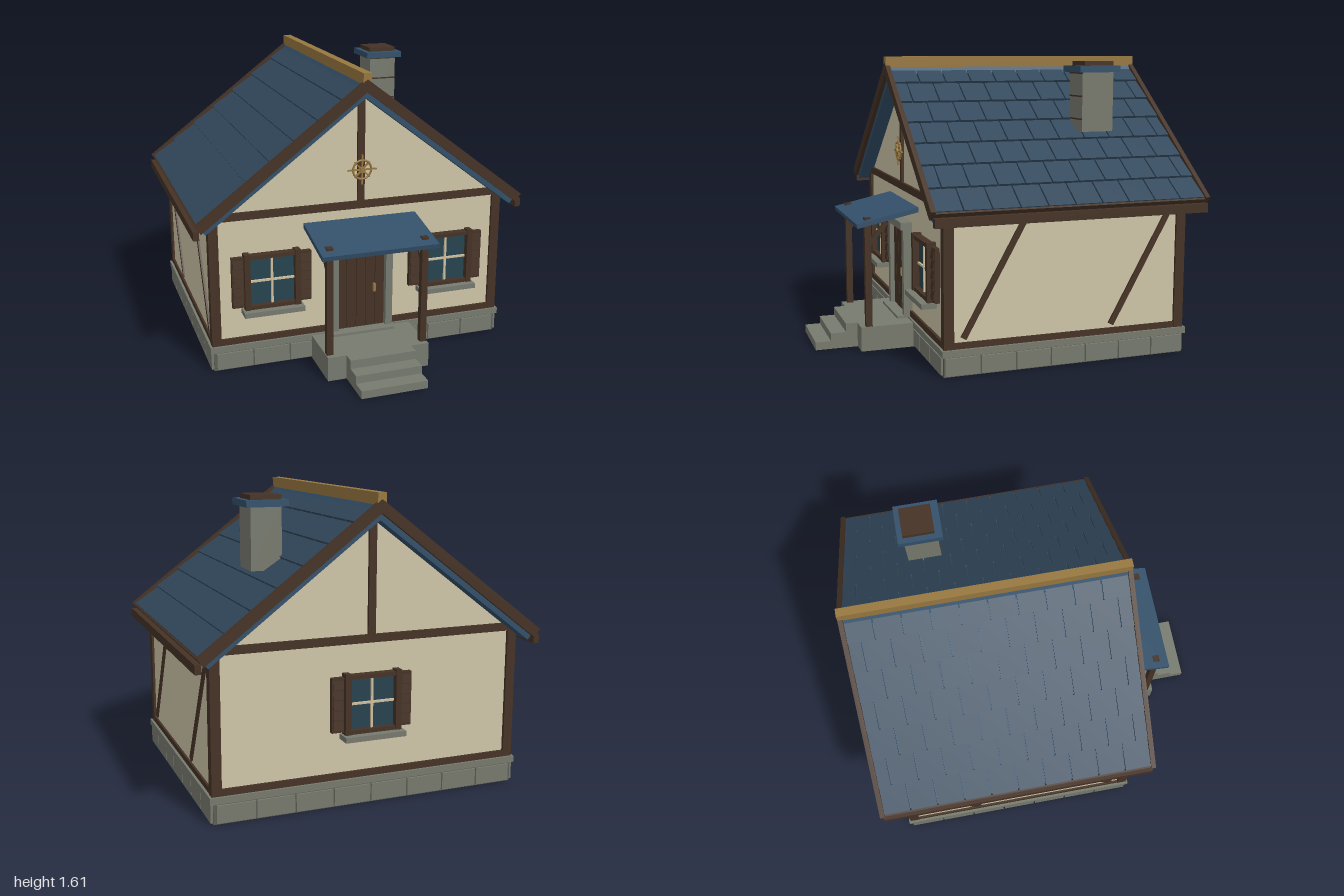
import * as THREE from 'three';

const mat = (color) => new THREE.MeshStandardMaterial({ color });
const M = {
  plaster: mat(0xcfc5a8), wood: mat(0x453225), stone: mat(0x777a6e), mortar: mat(0x5c5f56),
  tile: mat(0x32485c), slate: mat(0x33506a), gold: mat(0x97773f), glass: mat(0x27434f), cream: mat(0xcfc0a0),
};

// Box given by its min and max on each axis
function box(parent, name, m, x0, x1, y0, y1, z0, z1) {
  const mesh = new THREE.Mesh(new THREE.BoxGeometry(x1 - x0, y1 - y0, z1 - z0), m);
  mesh.position.set((x0 + x1) / 2, (y0 + y1) / 2, (z0 + z1) / 2);
  mesh.name = name;
  parent.add(mesh);
  return mesh;
}

// Square beam between two points that share the same x
function beam(parent, name, x, y0, z0, y1, z1, w, d) {
  const mesh = new THREE.Mesh(new THREE.BoxGeometry(w, Math.hypot(y1 - y0, z1 - z0), d), M.wood);
  mesh.position.set(x, (y0 + y1) / 2, (z0 + z1) / 2);
  mesh.rotation.x = Math.atan2(z1 - z0, y1 - y0);
  mesh.name = name;
  parent.add(mesh);
}

function group(parent, name) {
  const g = new THREE.Group();
  g.name = name;
  parent.add(g);
  return g;
}

const FRONT = 0.445, BACK = -0.885, RIDGE = 1.57, EAVE = 0.93, ANGLE = Math.atan(0.759);

// Row of blocks along one direction, separated by thin joints
function blockRow(parent, from, to, n, place) {
  const w = (to - from) / n;
  for (let i = 0; i < n; i++) place(from + i * w + 0.004, from + (i + 1) * w - 0.004);
}

function buildFoundation(house) {
  const g = group(house, 'foundation');
  box(g, 'foundationCore', M.mortar, -0.842, 0.842, 0, 0.115, -0.9, 0.46);
  box(g, 'foundationCap', M.stone, -0.86, 0.86, 0.108, 0.143, -0.912, 0.472);
  for (const s of [-1, 1]) {
    const x = s * 0.846;
    blockRow(g, -0.9, 0.46, 7, (a, b) => box(g, 'sideStone', M.stone, x - 0.009, x + 0.009, 0.008, 0.1, a, b));
  }
  for (const z of [-0.903, 0.463])
    blockRow(g, -0.83, 0.83, 8, (a, b) => box(g, 'stone', M.stone, a, b, 0.008, 0.1, z - 0.008, z + 0.008));
}

function buildWalls(house) {
  const g = group(house, 'walls');
  // Pentagonal plaster body with both gables
  const shape = new THREE.Shape();
  [[-0.835, 0.14], [0.835, 0.14], [0.835, 0.84], [0, 1.474], [-0.835, 0.84]]
    .forEach(([x, y], i) => (i ? shape.lineTo(x, y) : shape.moveTo(x, y)));
  const body = new THREE.Mesh(new THREE.ExtrudeGeometry(shape, { depth: FRONT - BACK, bevelEnabled: false }), M.plaster);
  body.position.z = BACK;
  body.name = 'plasterWalls';
  g.add(body);

  // Timber frame of the gable ends
  for (const [z0, z1] of [[FRONT - 0.02, FRONT + 0.015], [BACK - 0.015, BACK + 0.02]]) {
    box(g, 'sillBeam', M.wood, -0.82, 0.82, 0.143, 0.177, z0, z1);
    box(g, 'tieBeam', M.wood, -0.845, 0.845, 0.848, 0.89, z0, z1);
    box(g, 'kingPost', M.wood, -0.02, 0.02, 0.89, 1.455, z0, z1);
  }
  // Timber frame of the long sides
  for (const s of [-1, 1]) {
    const x = s * 0.832;
    box(g, 'sideSill', M.wood, x - 0.014, x + 0.014, 0.143, 0.175, BACK, FRONT);
    box(g, 'wallPlate', M.wood, x - 0.014, x + 0.014, 0.8, 0.838, BACK, FRONT);
    for (const z of [0.433, -0.873])
      box(g, 'cornerPost', M.wood, s * 0.822 - 0.026, s * 0.822 + 0.026, 0.143, 0.85, z - 0.027, z + 0.027);
    for (const z of [0.355, -0.468]) beam(g, 'sideBrace', x, 0.195, z, 0.81, z - 0.342, 0.026, 0.032);
  }
}

function buildRoof(house) {
  const roof = group(house, 'roof');
  const len = EAVE / Math.cos(ANGLE), z0 = -0.975, z1 = 0.525, rows = 7, cols = 10;
  for (const s of [-1, 1]) {
    // Each slope is laid out flat, then tilted about the ridge
    const g = group(roof, 'roofSlope');
    g.position.y = RIDGE;
    g.rotation.z = -s * ANGLE;
    const strip = (name, m, a, b, y0, y1, za, zb) =>
      box(g, name, m, Math.min(s * a, s * b), Math.max(s * a, s * b), y0, y1, za, zb);
    strip('roofDeck', M.slate, 0, len - 0.012, -0.08, -0.03, z0, z1);
    strip('frontBargeBoard', M.wood, 0, len, -0.052, 0.002, z1 - 0.004, z1 + 0.022);
    strip('backBargeBoard', M.wood, 0, len, -0.052, 0.002, z0 - 0.022, z0 + 0.004);
    strip('eaveBoard', M.wood, len - 0.012, len, -0.052, -0.012, z0, z1);
    // Staggered tile courses, each lifted at its lower edge
    const rl = (len - 0.01) / rows, w = (z1 - z0) / cols;
    for (let r = 0; r < rows; r++) {
      for (let c = 0; c <= cols; c++) {
        const off = r % 2 ? w / 2 : 0;
        const a = Math.max(z0, z0 + c * w - off), b = Math.min(z1, z0 + (c + 1) * w - off);
        if (b - a < 0.01) continue;
        const t = strip('roofTile', M.tile, r * rl, (r + 1) * rl - 0.002, -0.033, -0.013, a + 0.004, b - 0.004);
        t.rotation.z = s * 0.07;
      }
    }
    box(roof, 'eaveFascia', M.wood, s * 0.922 - 0.016, s * 0.922 + 0.016, 0.786, 0.834, -0.98, 0.53);
  }
  box(roof, 'ridgeBeam', M.gold, -0.023, 0.023, 1.545, 1.605, -0.995, 0.546);
}

function buildChimney(house) {
  const g = group(house, 'chimney');
  box(g, 'chimneyStack', M.stone, 0.375, 0.54, 1.197, 1.53, -0.607, -0.423);
  for (const y of [1.265, 1.39, 1.515]) box(g, 'chimneyJoint', M.wood, 0.375, 0.54, y - 0.004, y + 0.004, -0.43, -0.42);
  box(g, 'chimneyCap', M.slate, 0.345, 0.57, 1.52, 1.555, -0.635, -0.395);
  box(g, 'chimneyFlue', M.wood, 0.375, 0.54, 1.555, 1.58, -0.605, -0.435);
}

// Window facing +z, centred on its glass, with its back at z = 0
function buildWindow(house, name, x, y, z, turn) {
  const g = group(house, name);
  g.position.set(x, y, z);
  g.rotation.y = turn;
  box(g, 'glass', M.glass, -0.125, 0.125, -0.135, 0.135, -0.01, 0.015);
  box(g, 'mullion', M.cream, -0.006, 0.006, -0.135, 0.135, 0.01, 0.026);
  box(g, 'transom', M.cream, -0.125, 0.125, -0.006, 0.006, 0.01, 0.025);
  box(g, 'windowHead', M.wood, -0.15, 0.15, 0.132, 0.153, 0, 0.045);
  box(g, 'windowFoot', M.wood, -0.15, 0.15, -0.155, -0.134, 0, 0.045);
  box(g, 'windowSill', M.stone, -0.168, 0.168, -0.183, -0.155, -0.01, 0.085);
  for (const s of [-1, 1]) {
    box(g, 'windowJamb', M.wood, s * 0.14 - 0.016, s * 0.14 + 0.016, -0.155, 0.162, 0, 0.05);
    box(g, 'shutter', M.wood, s * 0.183 - 0.038, s * 0.183 + 0.038, -0.143, 0.143, 0, 0.026);
    for (let i = 0; i < 5; i++) {
      const slat = box(g, 'shutterSlat', M.wood, s * 0.188 - 0.027, s * 0.188 + 0.027,
        -0.128 + i * 0.053, -0.083 + i * 0.053, 0.022, 0.032);
      slat.rotation.x = -0.12;
    }
  }
}

function buildDoor(house) {
  const g = group(house, 'door');
  for (let i = 0; i < 5; i++)
    box(g, 'doorPlank', M.wood, -0.138 + i * 0.0555, -0.086 + i * 0.0555, 0.15, 0.645, FRONT - 0.01, 0.47);
  box(g, 'doorBacking', M.wood, -0.14, 0.14, 0.143, 0.645, FRONT - 0.01, 0.462);
  for (const s of [-1, 1]) box(g, 'doorJamb', M.stone, s * 0.159 - 0.02, s * 0.159 + 0.02, 0.135, 0.645, FRONT - 0.01, 0.495);
  box(g, 'doorLintel', M.stone, -0.184, 0.184, 0.643, 0.685, FRONT - 0.01, 0.51);
  box(g, 'threshold', M.stone, -0.18, 0.18, 0.13, 0.15, FRONT, 0.535);
  box(g, 'doorHandle', M.gold, 0.068, 0.082, 0.358, 0.404, 0.465, 0.487);
}

function buildPorch(house) {
  const g = group(house, 'porch');
  box(g, 'porchPlatform', M.stone, -0.29, 0.29, 0, 0.136, 0.44, 0.765);
  [[0.136, 0.83], [0.088, 0.915], [0.044, 1]].forEach(([y, z]) =>
    box(g, 'porchStep', M.stone, -0.186, 0.186, 0, y, z - 0.09, z));
  for (const s of [-1, 1]) {
    const x = s * 0.268;
    box(g, 'porchPost', M.wood, x - 0.018, x + 0.018, 0.136, 0.742, 0.7, 0.736);
    beam(g, 'porchBrace', x, 0.595, 0.708, 0.712, 0.612, 0.024, 0.022);
  }
  const canopy = box(g, 'porchCanopy', M.slate, -0.325, 0.325, 0.739, 0.765, 0.345, 0.79);
  canopy.rotation.x = 0.214;
}

// Spoked wheel ornament on the front gable
function buildWheel(house) {
  const g = group(house, 'gableWheel');
  g.position.set(0, 1.07, 0.472);
  const rim = new THREE.Mesh(new THREE.TorusGeometry(0.052, 0.006, 6, 24), M.gold);
  rim.name = 'wheelRim';
  g.add(rim);
  const hub = new THREE.Mesh(new THREE.CylinderGeometry(0.016, 0.016, 0.03, 12), M.gold);
  hub.rotation.x = Math.PI / 2;
  hub.name = 'wheelHub';
  g.add(hub);
  for (let i = 0; i < 4; i++) {
    const r = i % 2 ? 0.06 : 0.082;
    box(g, 'wheelSpoke', M.gold, -r, r, -0.004, 0.004, -0.005, 0.005).rotation.z = (i * Math.PI) / 4;
  }
}

export function createModel() {
  const house = new THREE.Group();
  house.name = 'cottage';
  buildFoundation(house);
  buildWalls(house);
  buildRoof(house);
  buildChimney(house);
  for (const s of [-1, 1]) buildWindow(house, 'frontWindow', s * 0.51, 0.5, FRONT, 0);
  buildWindow(house, 'backWindow', 0, 0.54, BACK, Math.PI);
  buildDoor(house);
  buildPorch(house);
  buildWheel(house);
  return house;
}
